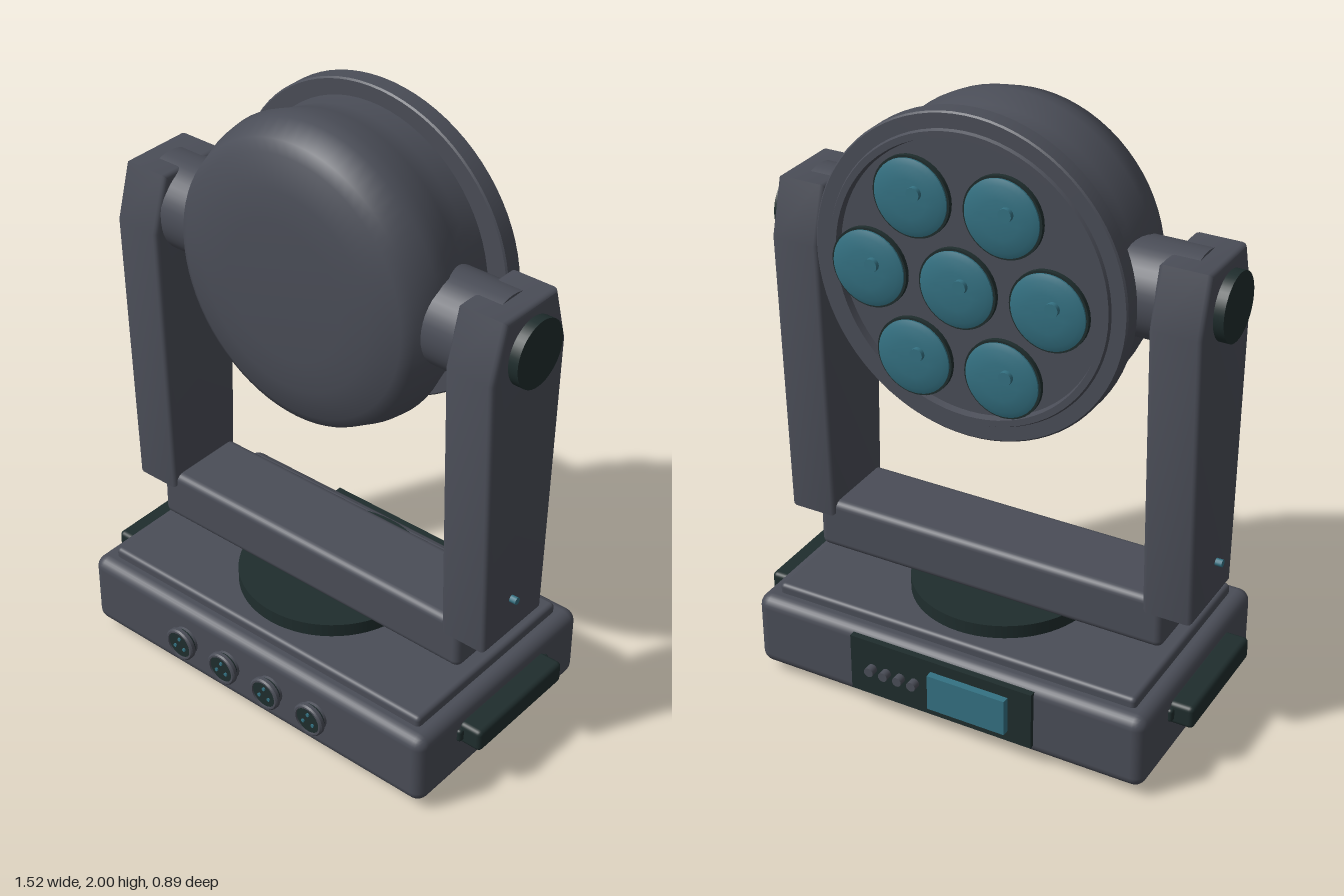
import * as THREE from 'three';
import { toCreasedNormals } from 'three/addons/utils/BufferGeometryUtils.js';
import { RoundedBoxGeometry } from 'three/addons/geometries/RoundedBoxGeometry.js';

const material = (name, color) => {
  const m = new THREE.MeshStandardMaterial({ color });
  m.name = name;
  return m;
};

export function createModel() {
  const housing = material('charcoal housing', 0x4a4d57);
  const black = material('dark rubber', 0x1f2d2d);
  const teal = material('teal glass', 0x347182);

  const model = new THREE.Group();
  model.name = 'movingHeadLight';

  const add = (name, geometry, mat, x = 0, y = 0, z = 0, parent = model) => {
    const mesh = new THREE.Mesh(geometry, mat);
    mesh.name = name;
    mesh.position.set(x, y, z);
    parent.add(mesh);
    return mesh;
  };
  const box = (w, h, d, r) => new RoundedBoxGeometry(w, h, d, 3, r);
  const cylX = (r, len, seg = 40) => new THREE.CylinderGeometry(r, r, len, seg).rotateZ(Math.PI / 2);
  const cylZ = (r, len, seg = 32) => new THREE.CylinderGeometry(r, r, len, seg).rotateX(Math.PI / 2);
  // Turned part around the z axis; points are [radius, z] with z rising
  const turned = (points, seg = 64, crease = 0.5) => toCreasedNormals(
    new THREE.LatheGeometry(points.map(([r, z]) => new THREE.Vector2(r, z)), seg).rotateX(Math.PI / 2), crease);

  // Base with raised lid and turntable
  add('base', box(1.37, 0.255, 0.81, 0.04), housing, 0, 0.16, 0);
  add('baseLid', box(1.26, 0.06, 0.7, 0.015), housing, 0, 0.29, 0);
  add('turntable', new THREE.CylinderGeometry(0.3, 0.3, 0.05, 64), black, 0, 0.34, 0);
  for (const x of [-0.525, 0.525]) for (const z of [-0.28, 0.28]) {
    add('foot', new THREE.CylinderGeometry(0.065, 0.065, 0.05, 28), black, x, 0.025, z);
  }

  // Front sockets
  for (const x of [-0.27, -0.09, 0.09, 0.27]) {
    const socket = new THREE.Group();
    socket.name = 'socket';
    socket.position.set(x, 0.162, 0);
    model.add(socket);
    add('socketShell', turned([[0.05, 0.4], [0.045, 0.422], [0.057, 0.424], [0.057, 0.436],
      [0.052, 0.441], [0.046, 0.441], [0.046, 0.425]], 32), housing, 0, 0, 0, socket);
    add('socketCore', cylZ(0.047, 0.03), black, 0, 0, 0.42, socket);
    for (let i = 0; i < 3; i++) {
      const a = Math.PI / 2 + i * Math.PI * 2 / 3;
      add('socketPin', cylZ(0.006, 0.006, 10), teal, Math.cos(a) * 0.022, Math.sin(a) * 0.022, 0.437, socket);
    }
  }

  // Rear control panel
  add('controlPanel', new THREE.BoxGeometry(0.64, 0.2, 0.022), black, 0, 0.17, -0.41);
  add('display', new THREE.BoxGeometry(0.27, 0.125, 0.026), teal, -0.105, 0.17, -0.432);
  for (let i = 0; i < 4; i++) {
    add('button', cylZ(0.016, 0.028, 16), housing, 0.088 + i * 0.051, 0.17, -0.433);
  }

  // Yoke cross beam
  add('yokeBeam', box(1.22, 0.175, 0.27, 0.025), housing, 0, 0.443, 0);

  // Arm outline in z and y
  const outline = [[-0.143, 0.482], [0.143, 0.482], [0.172, 1.45], [0.12, 1.63], [-0.12, 1.63], [-0.172, 1.45]];
  const armShape = new THREE.Shape(outline.map(([z, y]) => new THREE.Vector2(z, y)));
  const bevel = 0.016;
  const armGeometry = toCreasedNormals(new THREE.ExtrudeGeometry(armShape, {
    depth: 0.165 - 2 * bevel, bevelSize: bevel, bevelThickness: bevel, bevelOffset: -bevel, bevelSegments: 3,
  }).translate(0, 0, -0.0825 + bevel).rotateY(Math.PI / 2), 0.6);

  // Mirrored arms, pivots, knobs, screws and carrying handles
  for (const side of [-1, 1]) {
    add('yokeArm', armGeometry, housing, side * 0.6275, 0, 0);
    add('pivot', cylX(0.148, 0.23), housing, side * 0.525, 1.49, 0);
    add('pivotKnob', cylX(0.106, 0.04), black, side * 0.722, 1.49, 0);
    add('armScrew', cylX(0.012, 0.03, 12), teal, side * 0.717, 0.62, 0.02);
    add('handle', box(0.085, 0.078, 0.425, 0.016), black, side * 0.7165, 0.2, 0);
    add('handleMount', box(0.03, 0.045, 0.46, 0.01), black, side * 0.683, 0.2, 0);
  }

  // Head: rounded shell, rim and lens cluster
  const head = new THREE.Group();
  head.name = 'head';
  head.position.y = 1.49;
  model.add(head);
  const shell = add('headShell', turned([[0.455, -0.19], [0.458, -0.16], [0.452, -0.11], [0.468, -0.04],
    [0.492, 0.04], [0.485, 0.085], [0.455, 0.165], [0.42, 0.186], [0.32, 0.212], [0.22, 0.219], [0, 0.22]],
  72, 0.9), housing, 0, 0, 0, head);
  shell.scale.x = 0.96;
  add('headRim', turned([[0, -0.215], [0.43, -0.215], [0.435, -0.237], [0.455, -0.237], [0.46, -0.228],
    [0.505, -0.228], [0.51, -0.223], [0.51, -0.17], [0.505, -0.165], [0.44, -0.165]], 80), housing, 0, 0, 0, head);

  const lensGeometry = turned([[0, -0.304], [0.06, -0.302], [0.1, -0.296], [0.118, -0.288], [0.118, -0.276]], 40);
  const bezelGeometry = cylZ(0.125, 0.014, 40);
  for (let i = 0; i < 7; i++) {
    const d = i ? 0.292 : 0;
    const x = d * Math.cos(i * Math.PI / 3), y = d * Math.sin(i * Math.PI / 3);
    add('lensBezel', bezelGeometry, black, x, y, -0.276, head);
    add('lens', lensGeometry, teal, x, y, 0, head);
    add('lensNub', cylZ(0.021, 0.025, 16), teal, x - 0.025, y + 0.025, -0.304, head);
  }
  return model;
}
